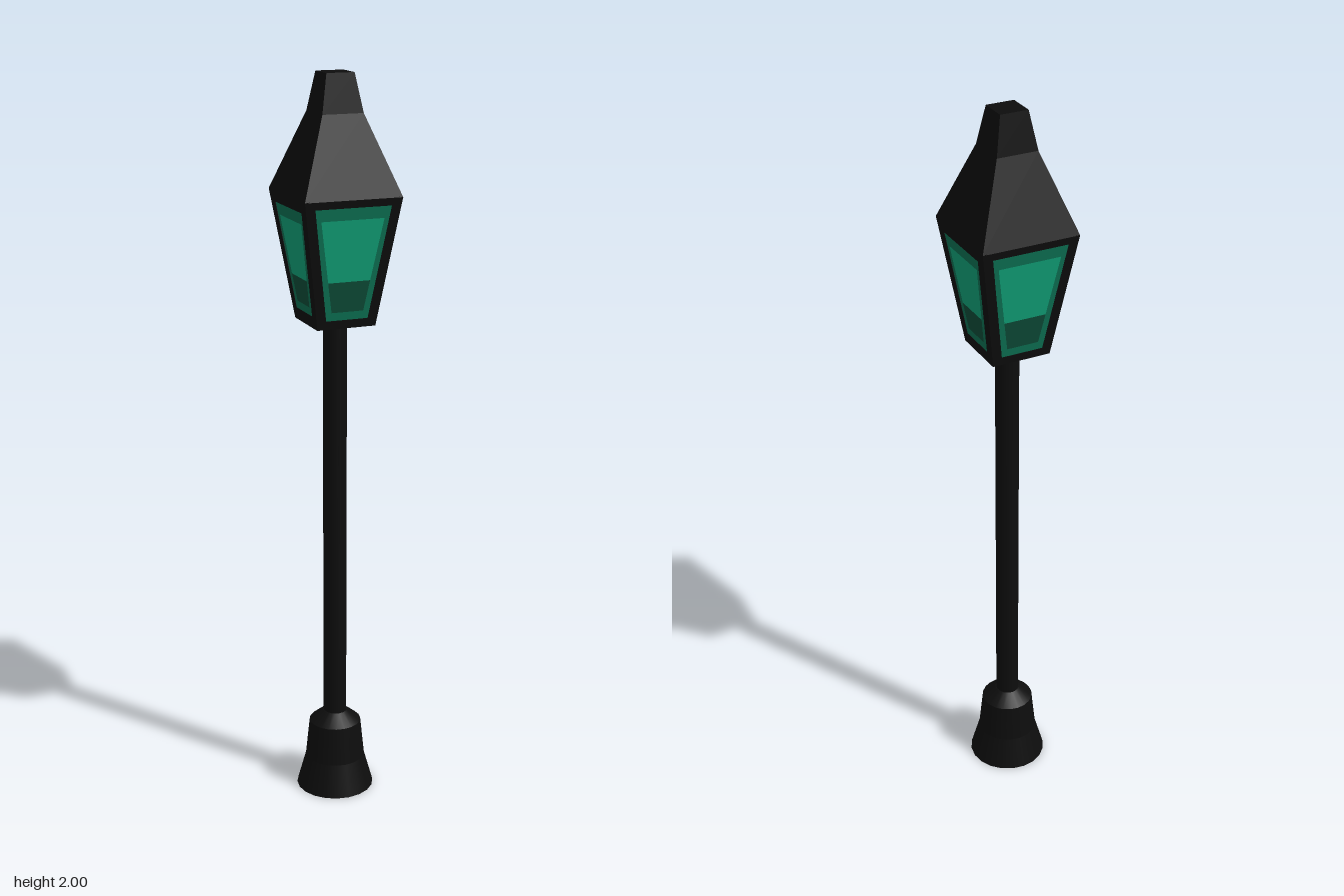
import * as THREE from 'three';

const paint = (name, color) => {
  const m = new THREE.MeshStandardMaterial({ color });
  m.name = name;
  return m;
};

export function createModel() {
  const model = new THREE.Group();
  model.name = 'streetLamp';
  const iron = paint('blackIron', 0x0d0d0d);
  iron.flatShading = true;
  const castIron = paint('smoothBlackIron', 0x0d0d0d);
  const glass = paint('greenGlass', 0x11a077);
  const glassEdge = paint('darkGlassEdge', 0x0c7153);
  const glassLow = paint('shadedGlass', 0x0d4b37);

  const add = (parent, name, geometry, material) => {
    const mesh = new THREE.Mesh(geometry, material);
    mesh.name = name;
    parent.add(mesh);
    return mesh;
  };

  // Round tapering section between two heights
  const round = (name, y0, r0, y1, r1) => {
    const g = new THREE.CylinderGeometry(r1, r0, y1 - y0, 20);
    add(model, name, g, castIron).position.y = (y0 + y1) / 2;
  };
  round('baseFoot', 0, 0.108, 0.09, 0.083);
  round('baseBody', 0.09, 0.083, 0.197, 0.072);
  round('baseShoulder', 0.197, 0.072, 0.228, 0.034);
  round('pole', 0.2, 0.032, 1.37, 0.032);

  // Square tapering section, sized by half widths
  const square = (name, y0, h0, y1, h1) => {
    const g = new THREE.CylinderGeometry(h1 * Math.SQRT2, h0 * Math.SQRT2, y1 - y0, 4);
    g.rotateY(Math.PI / 4);
    add(model, name, g, iron).position.y = (y0 + y1) / 2;
  };
  const bottom = 1.355, top = 1.695, low = 0.081, high = 0.133;
  square('lanternFloor', bottom, low, bottom + 0.02, low + 0.003);
  square('lanternRoof', top, high, 1.9, 0.056);
  square('lanternChimney', 1.9, 0.056, 2, 0.038);

  // Upright trapezoid outline: half width a at height u, b at height v
  const corners = (u, a, v, b) => [[-a, u], [a, u], [b, v], [-b, v]].map(([x, y]) => new THREE.Vector2(x, y));
  const trapezoid = (...p) => new THREE.Shape(corners(...p));
  const lerp = THREE.MathUtils.lerp;
  const tilt = Math.atan2(high - low, top - bottom);
  const slant = Math.hypot(high - low, top - bottom);
  const depth = 0.012;

  // Four leaning lantern sides; front and back openings are slightly larger
  for (let i = 0; i < 4; i++) {
    const turn = new THREE.Group();
    turn.name = 'lanternSide' + (i + 1);
    turn.rotation.y = (i * Math.PI) / 2;
    model.add(turn);
    const panel = new THREE.Group();
    panel.name = 'panel';
    panel.position.set(0, bottom, low);
    panel.rotation.x = tilt;
    turn.add(panel);

    const [u, a, v, b] = i % 2 ? [0.033, 0.057, 0.313, 0.096] : [0.023, 0.058, 0.324, 0.104];
    const frame = trapezoid(0, low, slant, high);
    frame.holes.push(new THREE.Path(corners(u, a, v, b).reverse()));
    const frameGeo = new THREE.ExtrudeGeometry(frame, { depth, bevelEnabled: false });
    frameGeo.translate(0, 0, -depth);
    add(panel, 'frame', frameGeo, iron);

    // Glass: dark rim around a clear upper and a shaded lower pane
    const iu = u + 0.022, iv = v - 0.032, ia = a - 0.014, ib = b - 0.018, split = 0.127;
    const mid = lerp(ia, ib, (split - iu) / (iv - iu));
    const rim = trapezoid(u, a, v, b);
    rim.holes.push(new THREE.Path(corners(iu, ia, iv, ib).reverse()));
    const pane = (name, shape, material) => {
      add(panel, name, new THREE.ShapeGeometry(shape), material).position.z = -0.001;
    };
    pane('glassRim', rim, glassEdge);
    pane('upperGlass', trapezoid(split, mid, iv, ib), glass);
    pane('lowerGlass', trapezoid(iu, ia, split, mid), glassLow);
  }
  return model;
}
